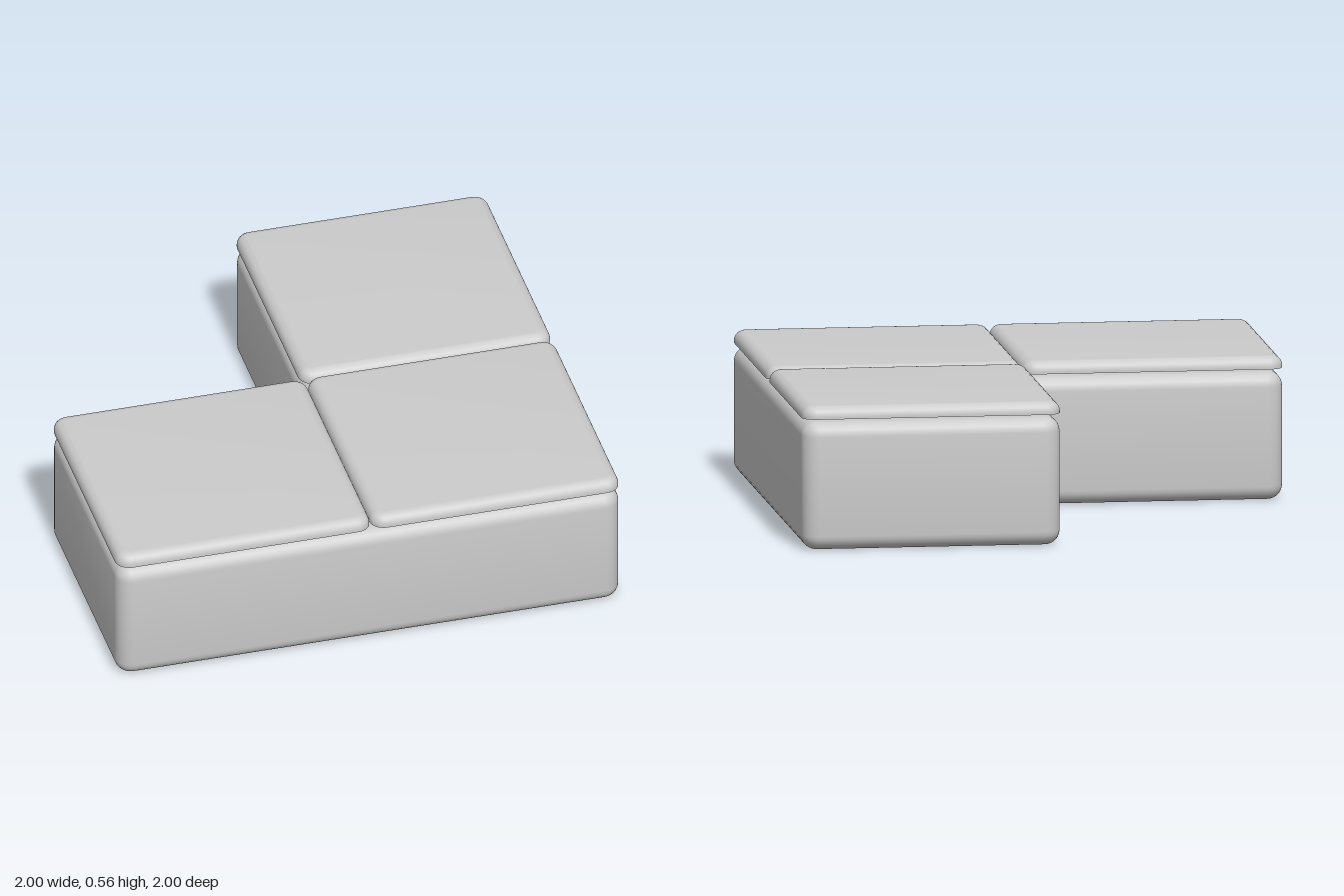
import * as THREE from 'three';
import { toCreasedNormals } from 'three/addons/utils/BufferGeometryUtils.js';

const material = new THREE.MeshStandardMaterial({ color: 0xcccccc });

// Closed outline through [x, z, cornerRadius] points (shape y is -z)
function roundedOutline(corners) {
  const pts = corners.map(([x, z]) => new THREE.Vector2(x, -z));
  const n = pts.length;
  const shape = new THREE.Shape();
  const toward = (i, j) => pts[j].clone().sub(pts[i]).setLength(corners[i][2]).add(pts[i]);
  pts.forEach((p, i) => {
    const a = toward(i, (i + n - 1) % n);
    const b = toward(i, (i + 1) % n);
    if (i === 0) shape.moveTo(a.x, a.y);
    else shape.lineTo(a.x, a.y);
    shape.quadraticCurveTo(p.x, p.y, b.x, b.y);
  });
  shape.closePath();
  return shape;
}

// Upright slab whose rim is rounded by the given bevel; y = 0 is the lower end of its wall
function slab(corners, wall, bevel) {
  const geometry = new THREE.ExtrudeGeometry(roundedOutline(corners), {
    depth: wall, bevelEnabled: true, bevelThickness: bevel, bevelSize: bevel,
    bevelSegments: 6, curveSegments: 8,
  });
  return geometry.rotateX(-Math.PI / 2);
}

function addPart(group, name, geometry, y) {
  const mesh = new THREE.Mesh(toCreasedNormals(geometry, Math.PI / 5), material);
  mesh.name = name;
  mesh.position.y = y;
  group.add(mesh);
}

// Seat pad: rounded above, flat underneath
function cushion(x0, x1, z0, z1) {
  const b = 0.04, r = 0.02;
  const geometry = slab([
    [x0 + b, z0 + b, r], [x0 + b, z1 - b, r], [x1 - b, z1 - b, r], [x1 - b, z0 + b, r],
  ], 0.008, b);
  const p = geometry.attributes.position;
  for (let i = 0; i < p.count; i++) p.setY(i, Math.max(p.getY(i), 0));
  return geometry;
}

export function createModel() {
  const group = new THREE.Group();
  group.name = 'cornerSeat';

  // L-shaped base with soft edges and a filleted inner corner
  const b = 0.055, e = 1 - b, r = 0.012;
  addPart(group, 'base', slab([
    [-e, b, r], [-e, e, r], [e, e, r], [e, -e, r], [b, -e, r], [b, b, 0.12],
  ], 0.495 - 2 * b, b), b);

  // Three seat cushions floating just above the base
  addPart(group, 'rightCushion', cushion(-1, 0.01, 0, 0.995), 0.51);
  addPart(group, 'cornerCushion', cushion(0.012, 1, 0, 0.995), 0.51);
  addPart(group, 'backCushion', cushion(0, 1, -1, 0), 0.51);

  return group;
}
